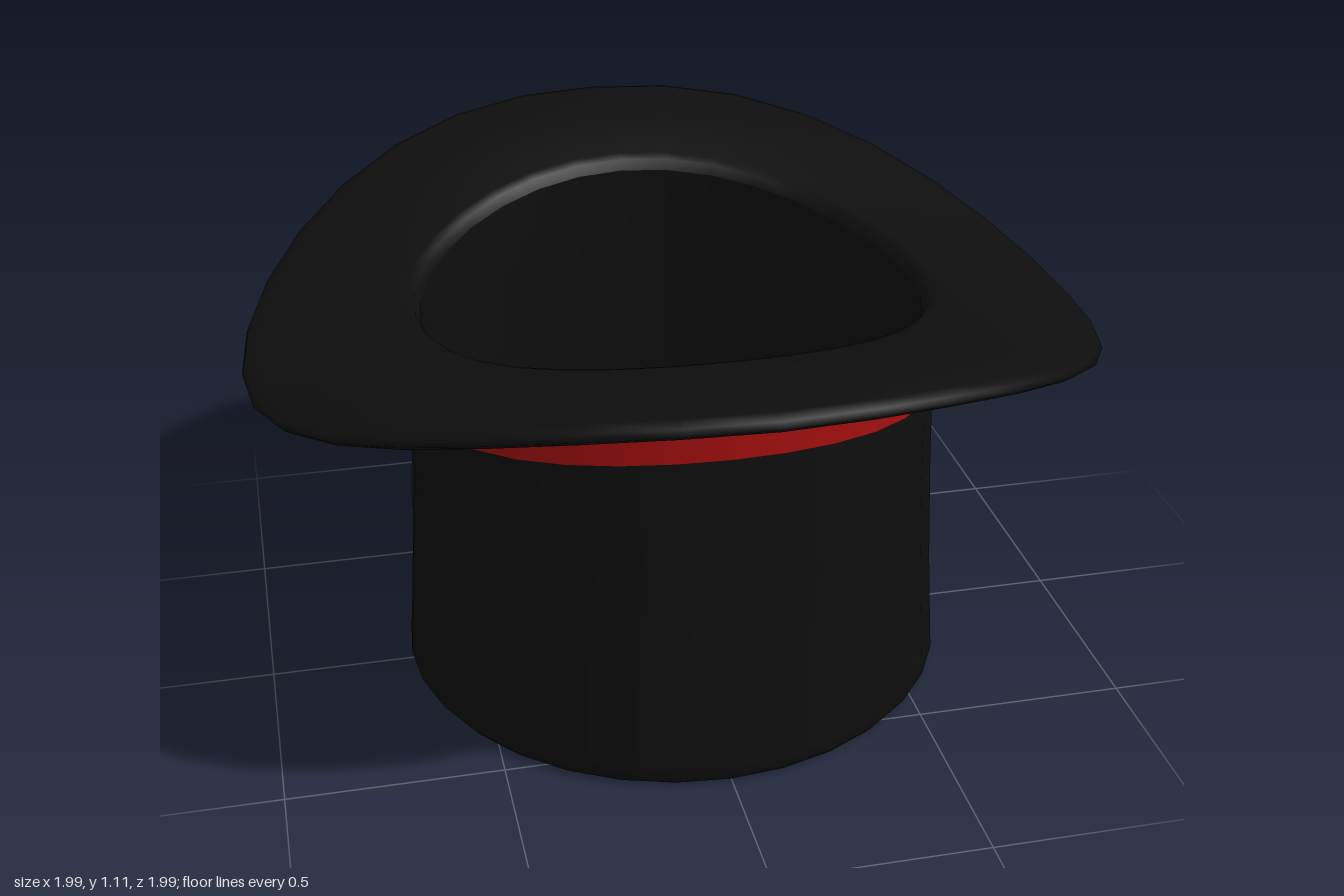
import * as THREE from 'three';
import { mergeVertices } from 'three/addons/utils/BufferGeometryUtils.js';

const SEGMENTS = 32;

// Lathe whose rings wave up and down: each ring is [radius, y at the sides, y at front and back, power]
function wavyLathe(rings) {
  const points = rings.map(([r, y]) => new THREE.Vector2(r, y));
  let geometry = new THREE.LatheGeometry(points, SEGMENTS);
  const pos = geometry.attributes.position;
  for (let i = 0; i < pos.count; i++) {
    const [r, ySide, yFront = ySide, power = 2] = rings[i % rings.length];
    if (r === 0) continue;
    const side = Math.pow(Math.abs(pos.getX(i)) / r, power);
    pos.setY(i, yFront + (ySide - yFront) * side);
  }
  // weld the seam so the shading is smooth all round
  geometry.deleteAttribute('normal');
  geometry.deleteAttribute('uv');
  geometry = mergeVertices(geometry, 1e-4);
  geometry.computeVertexNormals();
  return geometry;
}

export function createModel() {
  const group = new THREE.Group();
  const blackFelt = new THREE.MeshStandardMaterial({ color: 0x0e0e0e });
  blackFelt.name = 'blackFelt';
  const redRibbon = new THREE.MeshStandardMaterial({ color: 0xa50f0f });
  redRibbon.name = 'redRibbon';

  const add = (name, rings, material) => {
    const mesh = new THREE.Mesh(wavyLathe(rings), material);
    mesh.name = name;
    group.add(mesh);
  };

  // Crown, standing upside down on its flat end
  add('crown', [
    [0, 0], [0.62, 0], [0.645, 0.002], [0.659, 0.02], [0.656, 0.05],
    [0.64, 0.28], [0.628, 0.52], [0.62, 0.73, 0.82],
  ], blackFelt);

  // Ribbon, flush with the crown
  add('ribbon', [
    [0.62, 0.73, 0.82], [0.618, 0.82, 0.92], [0.618, 0.915, 1.025],
  ], redRibbon);

  // Brim underside, rolled edge and top, then the lip
  add('brim', [
    [0.618, 0.912, 1.022], [0.72, 0.885, 1.04], [0.85, 0.85, 1.06, 2.3],
    [0.98, 0.812, 1.075, 2.5], [0.997, 0.825, 1.088, 2.5], [0.992, 0.838, 1.104, 2.5],
    [0.965, 0.848, 1.111, 2.5], [0.8, 0.905, 1.103, 2.3], [0.7, 0.932, 1.078],
    [0.62, 0.942, 1.05], [0.597, 0.934, 1.04], [0.585, 0.91, 1.015],
  ], blackFelt);

  // Hollow inside of the crown
  add('lining', [
    [0.585, 0.91, 1.015], [0.586, 0.73, 0.82], [0.605, 0.28], [0.62, 0.06],
    [0.605, 0.035], [0.57, 0.03], [0, 0.03],
  ], blackFelt);

  return group;
}
